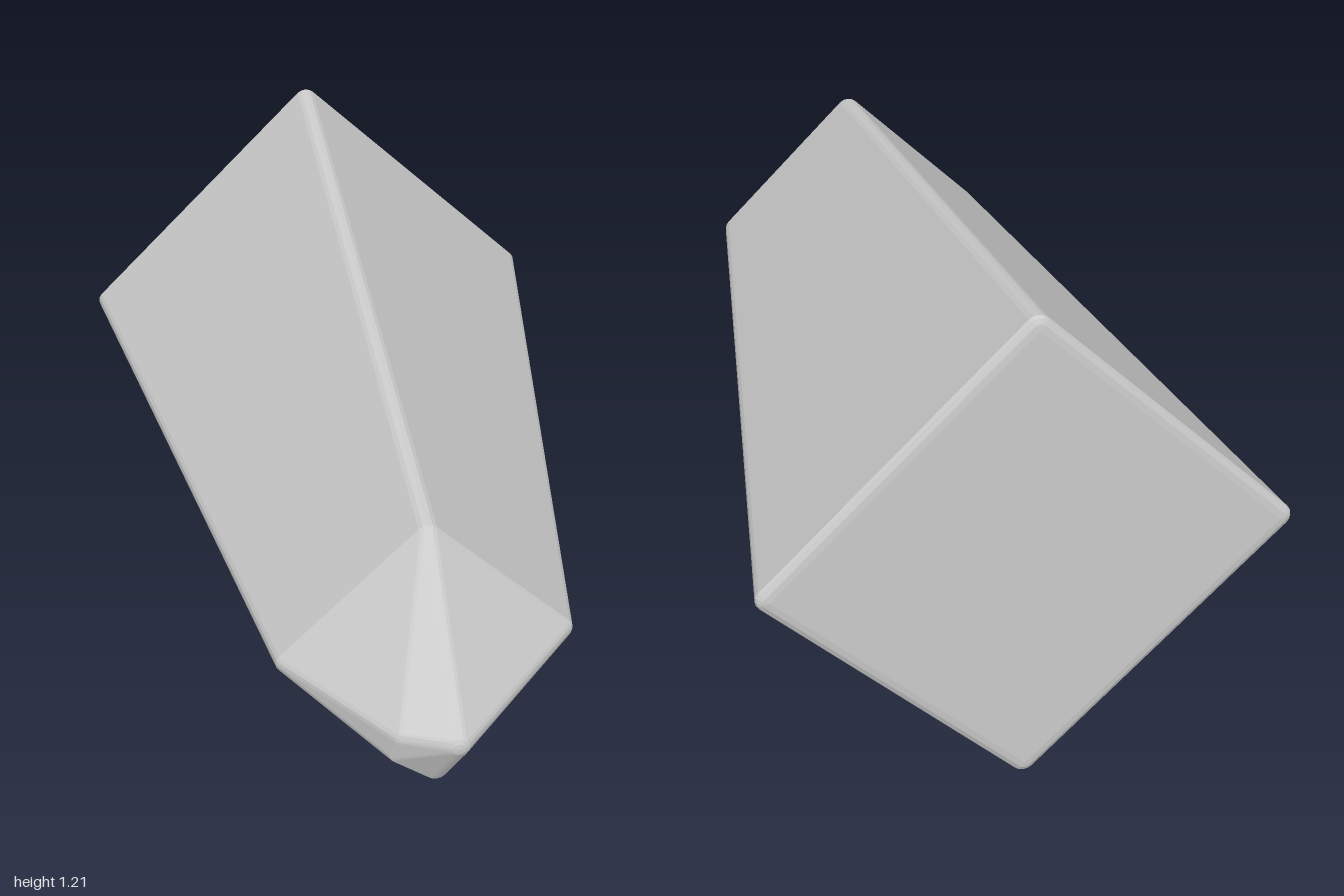
import * as THREE from 'three';
import { ConvexGeometry } from 'three/addons/geometries/ConvexGeometry.js';

const MID = 0.605; // height of the long axis

// Unit directions, with poles along z, used to round every corner
function roundingDirections() {
  const dirs = [new THREE.Vector3(0, 0, 1), new THREE.Vector3(0, 0, -1)];
  for (let ring = 1; ring < 6; ring++) {
    const lat = (ring / 6) * Math.PI;
    for (let i = 0; i < 16; i++) {
      const a = (i / 16) * Math.PI * 2;
      dirs.push(new THREE.Vector3(
        Math.sin(lat) * Math.cos(a), Math.sin(lat) * Math.sin(a), Math.cos(lat)));
    }
  }
  return dirs;
}

// Four corners of a diamond-shaped cross-section
function diamond(z, side, up, down) {
  return [[side, MID, z], [-side, MID, z], [0, MID + up, z], [0, MID - down, z]];
}

export function createModel() {
  const group = new THREE.Group();
  group.name = 'crystal';

  const corners = [
    ...diamond(-0.985, 0.574, 0.573, 0.575), // broad flat back
    [0, 0.116, 0],                           // bulge of the keel
    ...diamond(0.645, 0.318, 0.318, 0.315),  // shoulder
    [0, 0.608, 0.985],                       // tip
    [-0.105, 0.605, 0.938],                  // chipped side of the tip
    [-0.115, 0.555, 0.926],
    [-0.035, 0.496, 0.93],
  ];

  // Softly bevelled convex body
  const dirs = roundingDirections();
  const size = new THREE.Vector3(0.03, 0.03, 0.015);
  const points = corners.flatMap(([x, y, z]) =>
    dirs.map((d) => new THREE.Vector3(x, y, z).add(d.clone().multiply(size))));

  const body = new THREE.Mesh(
    new ConvexGeometry(points),
    new THREE.MeshStandardMaterial({ color: 0xcccccc, flatShading: true }));
  body.name = 'crystalBody';
  group.add(body);
  return group;
}
